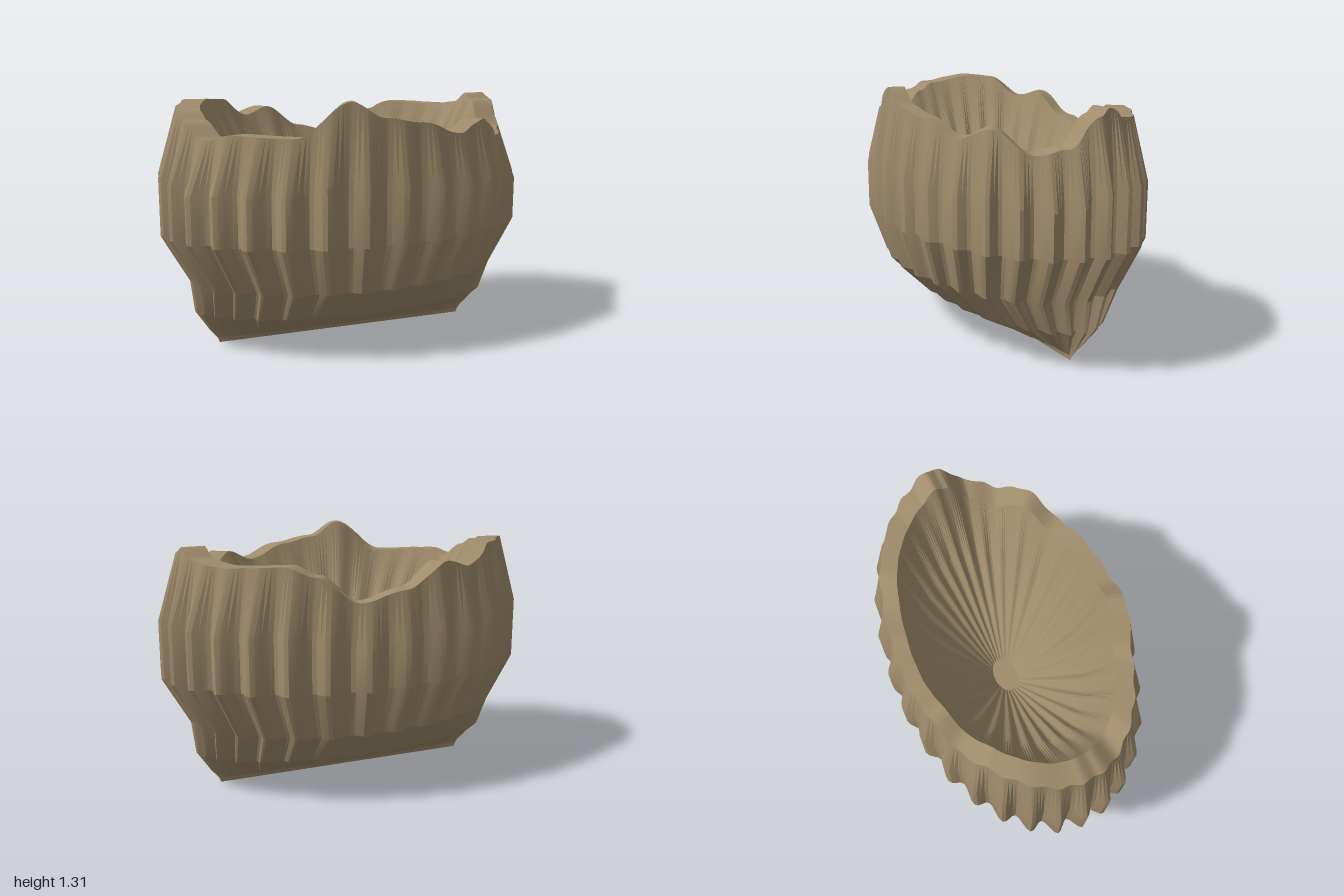
import * as THREE from 'three';
import { toCreasedNormals } from 'three/addons/utils/BufferGeometryUtils.js';

const SEGMENTS = 240;
const RIBS = 30;

// Uneven rim: [angle in degrees from +x towards +z, height]
const RIM = [
  [0, 1.25], [15, 1.11], [29, 1.08], [46, 1.19], [60, 1.13], [77, 1.2],
  [90, 1.23], [101, 1.31], [119, 1.14], [143, 1.15], [155, 1.12], [170, 1.2],
  [180, 1.24], [207, 1.28], [220, 1.27], [236, 1.17], [247, 1.21], [263, 1.09],
  [279, 1.04], [293, 1.17], [303, 1.22], [328, 1.21], [343, 1.23], [353, 1.285], [360, 1.25],
];

function rimHeight(deg) {
  let k = 0;
  while (k < RIM.length - 2 && deg > RIM[k + 1][0]) k++;
  const [a0, h0] = RIM[k];
  const [a1, h1] = RIM[k + 1];
  const t = (deg - a0) / (a1 - a0);
  return h0 + (h1 - h0) * t * t * (3 - 2 * t);
}

// Rings from the keel up the outside, over the rim and down the inside.
// rx, rz: half widths; y: height; rib: rib depth; wave: share of the rim's unevenness
const RINGS = [
  { rx: 0.69, rz: 0.0, y: 0.0, rib: 0.03, wave: 0 },
  { rx: 0.70, rz: 0.015, y: 0.025, rib: 0.03, wave: 0 },
  { rx: 0.74, rz: 0.15, y: 0.08, rib: 0.035, wave: 0 },
  { rx: 0.81, rz: 0.365, y: 0.19, rib: 0.035, wave: 0 },
  { rx: 0.83, rz: 0.53, y: 0.36, rib: 0.035, wave: 0 },
  { rx: 0.966, rz: 0.607, y: 0.61, rib: 0.035, wave: 0 },
  { rx: 0.966, rz: 0.607, y: 0.885, rib: 0.035, wave: 0.47 },
  { rx: 0.89, rz: 0.562, y: 1.19, rib: 0.008, wave: 1 },
  { rx: 0.77, rz: 0.483, y: 1.19, rib: 0.002, wave: 1 },
  { rx: 0.57, rz: 0.36, y: 0.85, rib: 0.03, wave: 0.4 },
  { rx: 0.34, rz: 0.212, y: 0.6, rib: 0.03, wave: 0 },
  { rx: 0.1, rz: 0.065, y: 0.37, rib: 0.02, wave: 0 },
  { rx: 0, rz: 0, y: 0.37, rib: 0, wave: 0 },
];

function vesselGeometry() {
  const positions = [];
  const index = [];
  for (const { rx, rz, y, rib, wave } of RINGS) {
    for (let i = 0; i < SEGMENTS; i++) {
      const a = (i / SEGMENTS) * Math.PI * 2;
      const swell = 1 + rib * Math.cos(a * RIBS);
      const lift = wave * (rimHeight((i / SEGMENTS) * 360) - 1.19);
      positions.push(rx * swell * Math.cos(a), y + lift, rz * swell * Math.sin(a));
    }
  }
  for (let j = 0; j < RINGS.length - 1; j++) {
    for (let i = 0; i < SEGMENTS; i++) {
      const n = (i + 1) % SEGMENTS;
      const a = j * SEGMENTS + i;
      const b = j * SEGMENTS + n;
      const c = a + SEGMENTS;
      const d = b + SEGMENTS;
      index.push(a, c, b, b, c, d);
    }
  }
  const geometry = new THREE.BufferGeometry();
  geometry.setAttribute('position', new THREE.Float32BufferAttribute(positions, 3));
  geometry.setIndex(index);
  return toCreasedNormals(geometry, 0.3);
}

export function createModel() {
  const group = new THREE.Group();
  group.name = 'ribbedVessel';
  const clay = new THREE.MeshStandardMaterial({ color: 0xa08c6c });
  const shell = new THREE.Mesh(vesselGeometry(), clay);
  shell.name = 'ribbedShell';
  group.add(shell);
  return group;
}
